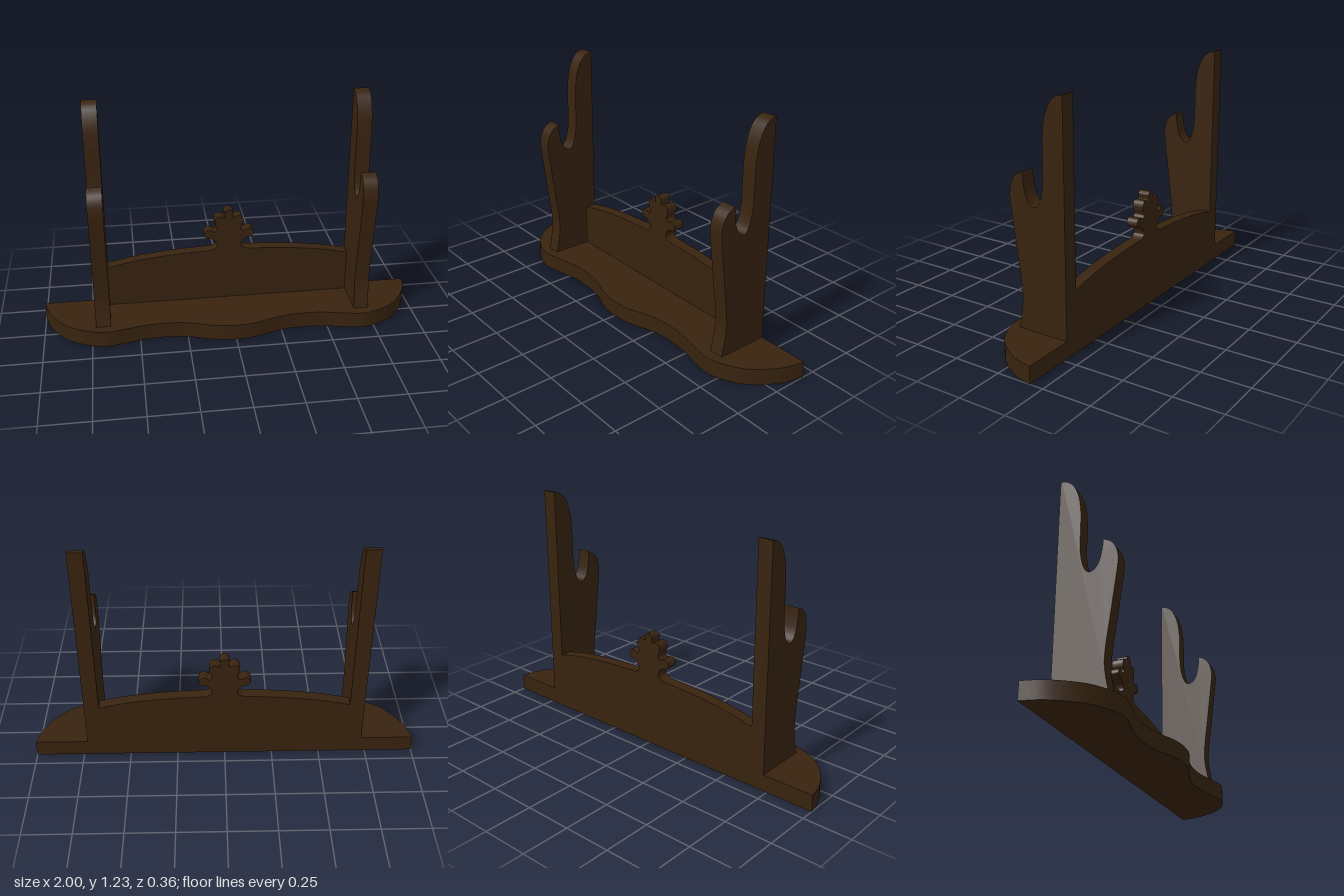
import * as THREE from 'three';
import { toCreasedNormals } from 'three/addons/utils/BufferGeometryUtils.js';

const BACK = -0.18, BASE_TOP = 0.087;
const vec = pts => pts.map(([x, y]) => new THREE.Vector2(x, y));
const extrude = (shape, depth) =>
  new THREE.ExtrudeGeometry(shape, { depth, bevelEnabled: false, curveSegments: 4 });

// Adds the mirror half of a run that ends on x = 0
const mirrored = pts => [...pts, ...pts.slice(0, -1).reverse().map(([x, y]) => [-x, y])];

export function createModel() {
  const group = new THREE.Group();
  const wood = new THREE.MeshStandardMaterial({ color: 0x38230f });
  wood.name = 'darkWood';

  const add = (name, geometry) => {
    const mesh = new THREE.Mesh(toCreasedNormals(geometry, 0.6), wood);
    mesh.name = name;
    group.add(mesh);
    return mesh;
  };

  // Base board: straight back, rounded ends and a wavy front (drawn as x, -z)
  const front = mirrored([[-0.97, 0.07], [-0.89, -0.05], [-0.8, -0.115], [-0.69, -0.15],
    [-0.585, -0.135], [-0.48, -0.113], [-0.385, -0.105], [-0.28, -0.112], [-0.2, -0.132],
    [-0.1, -0.165], [0, -0.175]]);
  const base = new THREE.Shape();
  base.moveTo(-1, -BACK);
  base.splineThru(vec([...front, [1, -BACK]]));
  base.closePath();
  add('base', extrude(base, BASE_TOP).rotateX(-Math.PI / 2));

  // Back panel: shallow arch with a lobed finial in the middle
  const finial = mirrored([[-0.068, 0.395], [-0.066, 0.415], [-0.08, 0.438], [-0.1, 0.45],
    [-0.12, 0.452], [-0.133, 0.472], [-0.12, 0.496], [-0.098, 0.498], [-0.078, 0.488],
    [-0.066, 0.497], [-0.064, 0.512], [-0.074, 0.53], [-0.075, 0.555], [-0.062, 0.575],
    [-0.043, 0.576], [-0.025, 0.568], [-0.021, 0.578], [-0.024, 0.598], [-0.012, 0.61], [0, 0.613]]);
  const panel = new THREE.Shape();
  panel.moveTo(-0.65, BASE_TOP);
  panel.lineTo(-0.65, 0.315);
  panel.splineThru(vec([[-0.5, 0.346], [-0.3, 0.369], [-0.12, 0.379], [-0.09, 0.382],
    ...finial, [0.09, 0.382], [0.12, 0.379], [0.3, 0.369], [0.5, 0.346], [0.65, 0.315]]));
  panel.lineTo(0.65, BASE_TOP);
  panel.closePath();
  add('backPanel', extrude(panel, 0.06).translate(0, 0, BACK));

  // Uprights: side profile with a deep cradle notch (drawn as z, y)
  const upright = new THREE.Shape();
  upright.moveTo(BACK, BASE_TOP);
  upright.lineTo(0.096, BASE_TOP);
  upright.splineThru(vec([[0.083, 0.148], [0.073, 0.207], [0.07, 0.255], [0.076, 0.337],
    [0.089, 0.43], [0.106, 0.564], [0.124, 0.71], [0.126, 0.753], [0.115, 0.803],
    [0.09, 0.84], [0.051, 0.861]]));
  upright.splineThru(vec([[0.047, 0.81], [0.034, 0.75], [0.011, 0.712], [-0.018, 0.703],
    [-0.041, 0.727], [-0.057, 0.776], [-0.066, 0.84]]));
  upright.lineTo(-0.066, 1.02);
  upright.splineThru(vec([[-0.079, 1.117], [-0.108, 1.189], [-0.142, 1.222], [BACK, 1.232]]));
  upright.closePath();
  const width = 0.077;
  for (const [name, x] of [['rightUpright', -0.6885], ['leftUpright', 0.6885]]) {
    add(name, extrude(upright, width).translate(0, 0, -width / 2).rotateY(-Math.PI / 2)).position.x = x;
  }

  return group;
}
